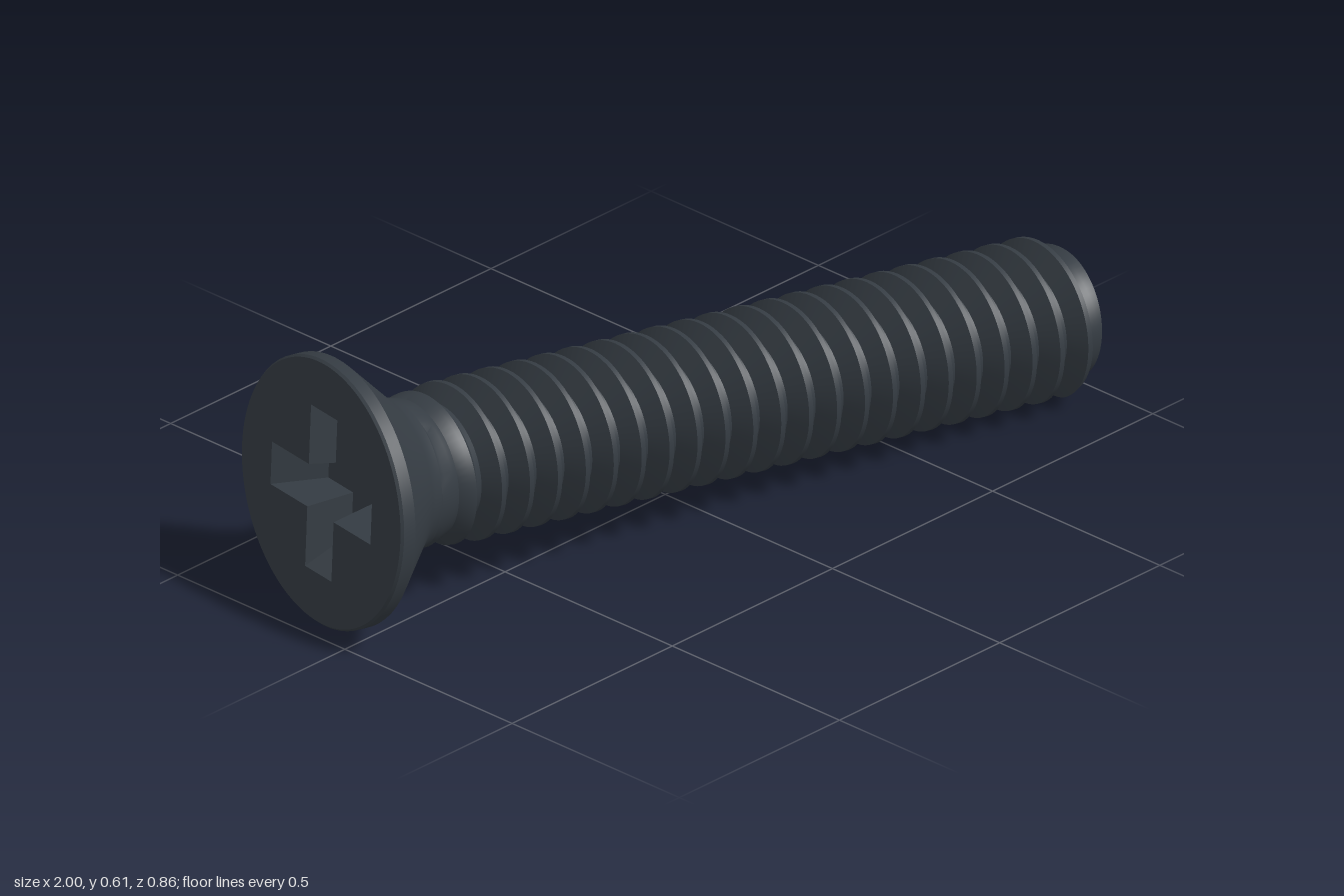
import * as THREE from 'three';
import { toCreasedNormals } from 'three/addons/utils/BufferGeometryUtils.js';

const LENGTH = 1.95, PITCH = 0.0733, HEAD_R = 0.306, NECK_R = 0.17;
const CREST = 0.18, ROOT = 0.132, TIP_R = 0.145, SHANK_START = 0.2;
const { clamp, lerp } = THREE.MathUtils;

// Radius of the threaded shank at distance s from the head face
function shankRadius(s, base) {
  if (s <= SHANK_START) return NECK_R;
  if (s >= LENGTH) return TIP_R;
  let r = lerp(0.166, base, clamp((s - 0.22) / 0.12, 0, 1)); // thread run-in
  r = Math.max(r, lerp(ROOT, TIP_R, clamp((s - 1.89) / 0.04, 0, 1))); // solid tip
  return Math.min(r, TIP_R + (LENGTH - s) * 0.75); // tip chamfer
}

// Right-handed helical thread along +x
function threadGeometry() {
  const segs = 64, position = [], index = [];
  const profile = [[-0.08, CREST], [0.08, CREST], [0.4, ROOT], [0.6, ROOT]];
  const phase = 1.878 - PITCH * 25;
  let rows = 0;
  for (let turn = 0; turn <= 27; turn++) {
    for (const [offset, base] of profile) {
      for (let j = 0; j <= segs; j++) {
        const t = j / segs, a = t * Math.PI * 2;
        const s = clamp(phase + PITCH * (turn + offset + t), SHANK_START, LENGTH);
        const r = shankRadius(s, base);
        position.push(s, r * Math.cos(a), r * Math.sin(a));
      }
      rows++;
    }
  }
  const w = segs + 1;
  for (let i = 0; i < rows - 1; i++) {
    for (let j = 0; j < segs; j++) {
      const a = i * w + j, b = a + w;
      index.push(a, a + 1, b, a + 1, b + 1, b);
    }
  }
  const g = new THREE.BufferGeometry();
  g.setAttribute('position', new THREE.Float32BufferAttribute(position, 3));
  g.setIndex(index);
  return toCreasedNormals(g, 0.6);
}

// Counter-clockwise outline of the cross recess
function crossOutline(length, half) {
  const points = [], centre = new THREE.Vector2();
  for (let k = 0; k < 4; k++) {
    for (const [x, y] of [[length, -half], [length, half], [half, half]]) {
      points.push(new THREE.Vector2(x, y).rotateAround(centre, k * Math.PI / 2 + 0.04));
    }
  }
  return points;
}

// Tapered walls between the outer and inner outlines
function recessWalls(outer, inner, depth) {
  const position = [];
  outer.forEach((a, i) => {
    const n = (i + 1) % outer.length, b = outer[n], c = inner[n], d = inner[i];
    position.push(a.x, a.y, 0, b.x, b.y, 0, c.x, c.y, -depth);
    position.push(a.x, a.y, 0, c.x, c.y, -depth, d.x, d.y, -depth);
  });
  const g = new THREE.BufferGeometry();
  g.setAttribute('position', new THREE.Float32BufferAttribute(position, 3));
  g.computeVertexNormals();
  return g;
}

export function createModel() {
  const model = new THREE.Group();
  const steel = new THREE.MeshStandardMaterial({ color: 0x353c43 });
  steel.name = 'dark steel';

  const screw = new THREE.Group();
  screw.name = 'screw';
  model.add(screw);
  const add = (name, geometry) => {
    const mesh = new THREE.Mesh(geometry, steel);
    mesh.name = name;
    screw.add(mesh);
  };

  // Countersunk head: thin rim, cone and fillet into the neck
  const headProfile = [
    [HEAD_R - 0.005, 0], [HEAD_R, 0.006], [HEAD_R, 0.036],
    [0.19, 0.162], [0.176, 0.18], [NECK_R, SHANK_START],
  ].map(([r, s]) => new THREE.Vector2(r, s));
  add('head', toCreasedNormals(new THREE.LatheGeometry(headProfile, 64).rotateZ(-Math.PI / 2), 0.5));

  // Head face with its cross-shaped drive recess
  const outer = crossOutline(0.19, 0.05), inner = crossOutline(0.13, 0.036), depth = 0.11;
  const face = new THREE.Shape().absarc(0, 0, HEAD_R - 0.005, 0, Math.PI * 2);
  face.holes.push(new THREE.Path(outer));
  add('headFace', new THREE.ShapeGeometry(face, 64).rotateY(-Math.PI / 2));
  add('recessWalls', recessWalls(outer, inner, depth).rotateY(-Math.PI / 2));
  add('recessFloor', new THREE.ShapeGeometry(new THREE.Shape(inner))
    .translate(0, 0, -depth).rotateY(-Math.PI / 2));

  // Shank and flat tip
  add('threadedShank', threadGeometry());
  add('tip', new THREE.CircleGeometry(TIP_R, 64).rotateY(Math.PI / 2).translate(LENGTH, 0, 0));

  // Lay the screw down, resting on its head rim and tip
  const axis = new THREE.Vector3(1, -0.07, 0.208).normalize();
  const side = axis.clone().cross(new THREE.Vector3(0, 1, 0)).normalize();
  const up = side.clone().cross(axis);
  screw.quaternion.setFromRotationMatrix(new THREE.Matrix4().makeBasis(axis, up, side));
  screw.position.set(-0.935, 0.306, -0.133);
  return model;
}
